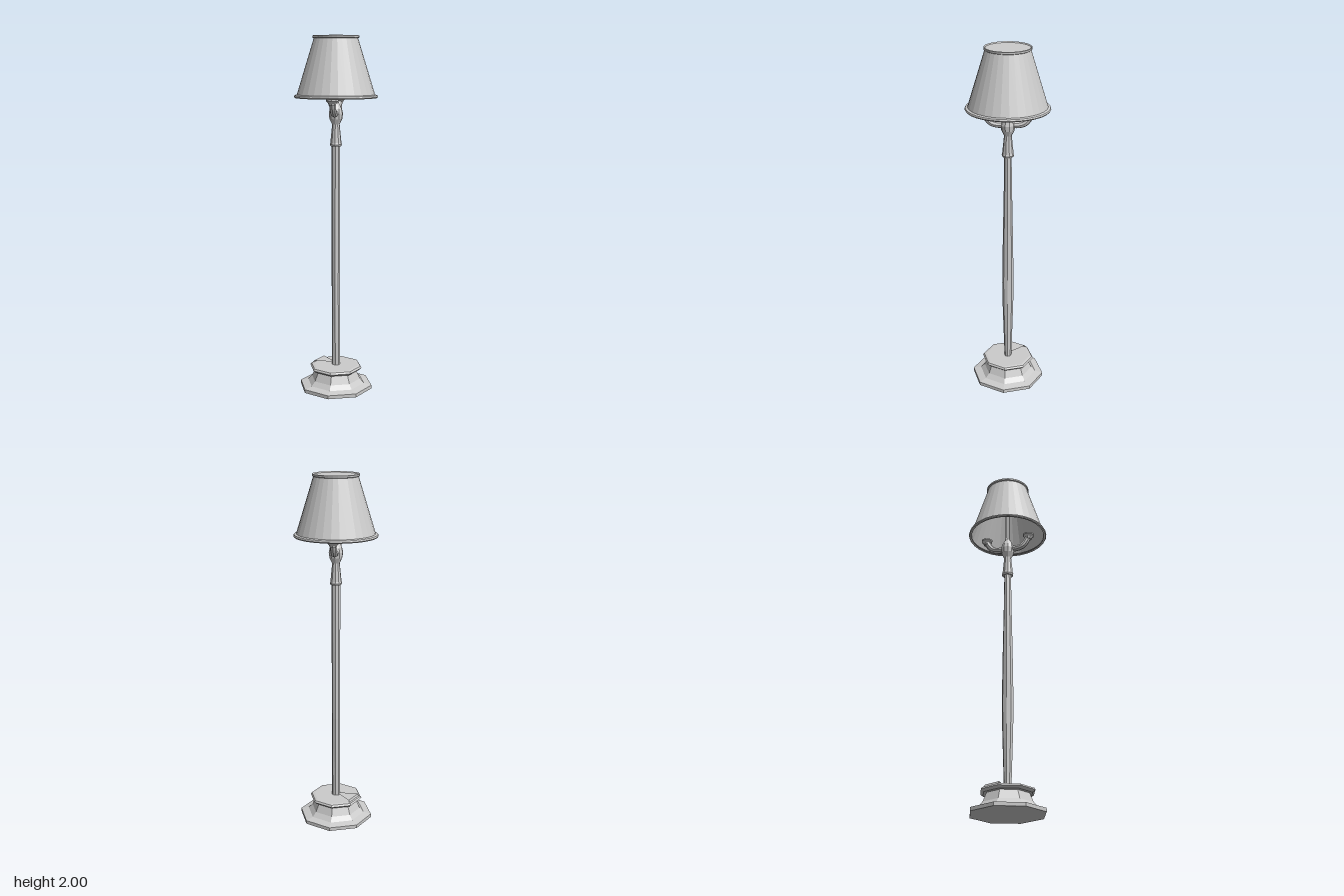
import * as THREE from 'three';

const material = new THREE.MeshStandardMaterial({
  color: 0xcccccc, flatShading: true, side: THREE.DoubleSide,
});

function part(name, geometry, parent) {
  const mesh = new THREE.Mesh(geometry, material);
  mesh.name = name;
  parent.add(mesh);
  return mesh;
}

// Turned form from [radius, height] pairs, listed bottom to top
function turned(points, sides) {
  return new THREE.LatheGeometry(points.map(([r, y]) => new THREE.Vector2(r, y)), sides);
}

export function createModel() {
  const lamp = new THREE.Group();
  lamp.name = 'floorLamp';

  // Octagonal stepped foot, turned slightly off axis
  const foot = new THREE.Group();
  foot.name = 'foot';
  foot.rotation.y = -0.06;
  lamp.add(foot);
  part('base', turned([
    [0, 0], [0.21, 0], [0.21, 0.02], [0.165, 0.03], [0.142, 0.055], [0.12, 0.105],
    [0.137, 0.107], [0.152, 0.12], [0.145, 0.13], [0.13, 0.133], [0, 0.133],
  ], 8), foot);
  // One raised sector on the foot's top
  const wedge = part('raisedWedge',
    new THREE.CylinderGeometry(0.13, 0.135, 0.012, 1, 1, false, Math.PI * 1.25, Math.PI / 4), foot);
  wedge.position.y = 0.138;

  // Pole swells front to back only; its width stays even
  const pole = turned([
    [0.02, 0.13], [0.024, 0.25], [0.031, 0.48], [0.033, 0.62], [0.029, 0.9], [0.023, 1.2], [0.02, 1.41],
  ], 8);
  const p = pole.attributes.position;
  for (let i = 0; i < p.count; i++) {
    const r = Math.max(Math.hypot(p.getX(i), p.getZ(i)), 1e-6);
    p.setX(i, p.getX(i) * 0.024 / r);
  }
  part('pole', pole, lamp);

  // Collar, tapered neck and bulb where the arms branch
  part('neck', turned([
    [0, 1.4], [0.03, 1.4], [0.034, 1.41], [0.031, 1.42], [0.021, 1.52], [0.036, 1.55],
    [0.04, 1.58], [0.034, 1.605], [0.018, 1.635], [0.014, 1.65], [0, 1.65],
  ], 10), lamp);
  part('centreRod', new THREE.CylinderGeometry(0.014, 0.014, 0.36, 8), lamp).position.y = 1.81;

  // Two curved arms with candle cups
  for (const side of [1, -1]) {
    const arm = new THREE.Group();
    arm.name = side > 0 ? 'frontArm' : 'backArm';
    arm.rotation.y = side > 0 ? 0 : Math.PI;
    lamp.add(arm);
    const path = new THREE.CatmullRomCurve3([
      [0.02, 1.58], [0.055, 1.58], [0.09, 1.59], [0.112, 1.615], [0.125, 1.645],
    ].map(([z, y]) => new THREE.Vector3(0, y, z)));
    part('armTube', new THREE.TubeGeometry(path, 10, 0.018, 8), arm);
    const cup = part('cup', turned([
      [0, -0.012], [0.018, -0.012], [0.022, 0], [0.033, 0.012], [0.033, 0.02], [0.022, 0.024], [0, 0.024],
    ], 8), arm);
    cup.position.set(0, 1.64, 0.128);
  }

  // Conical shade, open below and closed above, with two rims
  const shade = new THREE.Group();
  shade.name = 'shade';
  lamp.add(shade);
  const sides = 30;
  part('shadeCone', turned([[0.217, 1.675], [0.119, 1.99]], sides), shade);
  part('bottomRim', turned([
    [0.214, 1.668], [0.226, 1.665], [0.23, 1.671], [0.227, 1.679], [0.215, 1.683],
  ], sides), shade);
  part('topRim', turned([
    [0.12, 1.984], [0.127, 1.988], [0.127, 1.997], [0.124, 2], [0.119, 1.994],
  ], sides), shade);
  part('shadeTop', turned([[0.12, 1.994], [0, 1.994]], sides), shade);

  return lamp;
}
